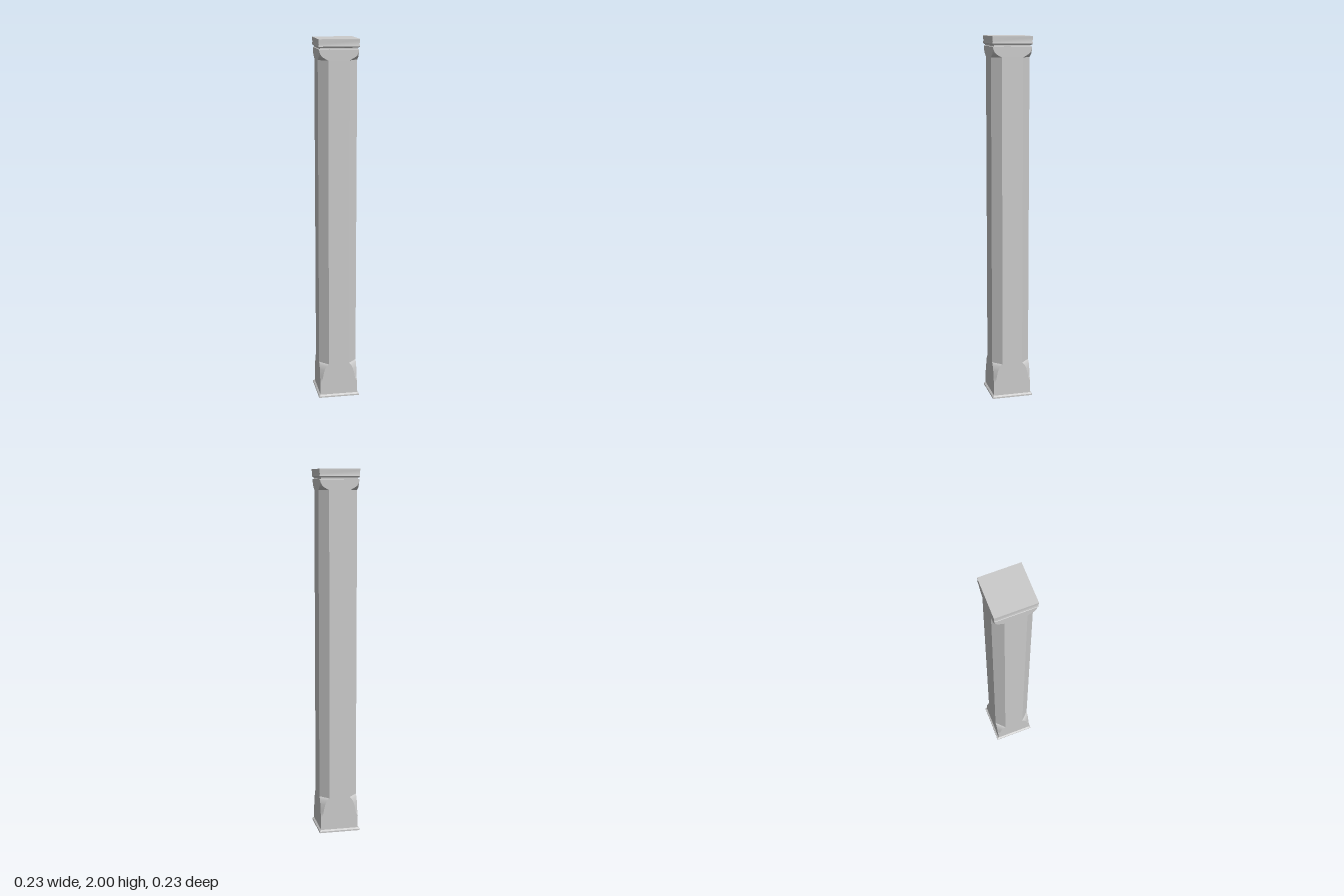
import * as THREE from 'three';
import { toCreasedNormals } from 'three/addons/utils/BufferGeometryUtils.js';

const material = new THREE.MeshStandardMaterial({ color: 0xcccccc });

// Square section of half width w; each face is flat out to +-f, then chamfered
function section([y, w, f]) {
  const points = [];
  for (let i = 0; i < 4; i++) {
    const c = [1, 0, -1, 0][i], s = [0, 1, 0, -1][i];
    for (const t of [-f, f]) points.push([w * c - t * s, y, -(w * s + t * c)]);
  }
  return points;
}

// Skin a stack of [y, halfWidth, faceHalfWidth] rows, listed from bottom to top
function loft(name, rows, { bottom = false, top = false } = {}) {
  const positions = [];
  const tri = (a, b, c) => {
    const [A, B, C] = [a, b, c].map((p) => new THREE.Vector3(...p));
    if (B.sub(A).cross(C.sub(A)).length() > 1e-9) positions.push(...a, ...b, ...c);
  };
  const rings = rows.map(section);
  for (let r = 0; r < rings.length - 1; r++) {
    const lo = rings[r], hi = rings[r + 1];
    for (let i = 0; i < 8; i++) {
      const j = (i + 1) % 8;
      tri(lo[i], lo[j], hi[j]);
      tri(lo[i], hi[j], hi[i]);
    }
  }
  const first = rings[0], last = rings[rings.length - 1];
  for (let i = 1; i < 7; i++) {
    if (bottom) tri(first[0], first[i + 1], first[i]);
    if (top) tri(last[0], last[i], last[i + 1]);
  }
  const geometry = new THREE.BufferGeometry();
  geometry.setAttribute('position', new THREE.Float32BufferAttribute(positions, 3));
  const mesh = new THREE.Mesh(toCreasedNormals(geometry, 0.45), material);
  mesh.name = name;
  return mesh;
}

// Smooth chamfer stop through a few [faceHalfWidth, y] points
function stopRows(points, w, steps = 16) {
  const curve = new THREE.SplineCurve(points.map((p) => new THREE.Vector2(...p)));
  return curve.getPoints(steps).map((p) => [p.y, w, Math.min(p.x, w)]);
}

export function createModel() {
  const W = 0.105, F = 0.057;
  const square = (y, w) => [y, w, w];
  const column = new THREE.Group();
  column.name = 'column';

  // Flared foot
  column.add(loft('plinth', [
    square(0, 0.114), square(0.008, 0.114), square(0.015, W),
  ], { bottom: true }));

  // Square base whose corners run into the chamfers through an ogee
  column.add(loft('base', [
    square(0.015, W),
    ...stopRows([[W, 0.085], [0.094, 0.105], [0.088, 0.135], [0.08, 0.165], [0.068, 0.187], [F, 0.197]], W),
  ]));

  // Chamfered shaft
  column.add(loft('shaft', [[0.197, W, F], [1.89, W, F]]));

  // Capital: rounded stops return the corners to square
  column.add(loft('capital', [
    ...stopRows([[F, 1.89], [0.073, 1.899], [0.09, 1.91], [0.1, 1.925], [W, 1.942]], W),
    square(1.946, W), square(1.948, 0.099), square(1.954, 0.099),
  ]));

  // Cap slab with a slightly recessed waist
  column.add(loft('cap', [
    square(1.954, 0.099), square(1.955, 0.104), square(1.962, 0.109),
    square(1.974, 0.107), square(1.992, 0.109), square(2, 0.109),
  ], { top: true }));

  return column;
}
